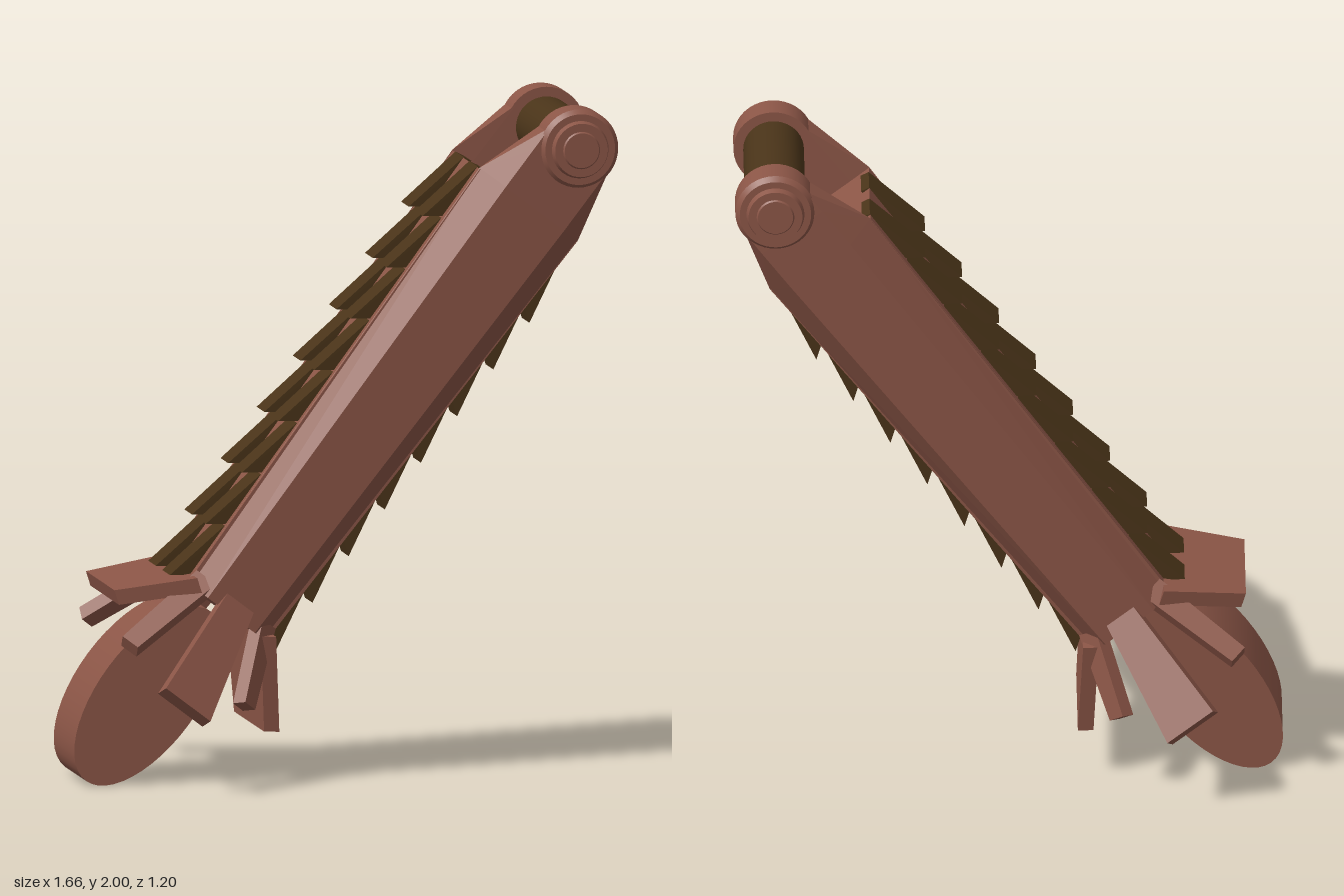
import * as THREE from 'three';
import { ConvexGeometry } from 'three/addons/geometries/ConvexGeometry.js';

const clay = new THREE.MeshStandardMaterial({ color: 0x8c5647 });
const bronze = new THREE.MeshStandardMaterial({ color: 0x4a3419 });

function add(parent, name, geometry, material = clay) {
  const mesh = new THREE.Mesh(geometry, material);
  mesh.name = name;
  parent.add(mesh);
}

// Faceted solid around a few corner points
function hull(parent, name, points, material) {
  add(parent, name, new ConvexGeometry(points.map(p => new THREE.Vector3(...p))), material);
}

// Cylinder along z from z0 to z1
function disc(parent, name, r0, r1, z0, z1, material) {
  const geometry = new THREE.CylinderGeometry(r1, r0, z1 - z0, 40);
  geometry.rotateX(Math.PI / 2).translate(0, 0, (z0 + z1) / 2);
  add(parent, name, geometry, material);
}

// Tapered plate flaring from a root to a tip; 'out' is the outward direction in x,z
function petal(parent, name, root, tip, rootHalf, tipHalf, out, thickness) {
  const points = [];
  for (const [p, half] of [[root, rootHalf], [tip, tipHalf]])
    for (const s of [-1, 1])
      for (const t of [-0.5, 0.5])
        points.push([
          p[0] - out[1] * half * s + out[0] * t * thickness,
          p[1] + t * thickness * 0.7,
          p[2] + out[0] * half * s + out[1] * t * thickness,
        ]);
  hull(parent, name, points);
}

// Row of overlapping wedge scales on one broad face (side = -1 upper, 1 lower)
function scaleRow(parent, side, z, firstTip, pitch) {
  for (let i = 0; i < 8; i++) {
    const tip = firstTip - i * pitch;
    const face = 0.185 - 0.035 * (-tip - 0.23) / 1.48;
    const points = [];
    for (const s of [-1, 1]) {
      points.push([side * (face - 0.02), tip + 0.22, z + s * 0.056]);
      points.push([side * (face + 0.006), tip + 0.215, z + s * 0.056]);
      points.push([side * (face + 0.05), tip, z + s * 0.052]);
      points.push([side * (face - 0.02), tip + 0.05, z + s * 0.052]);
    }
    hull(parent, 'scale', points, bronze);
  }
}

// One side: rail, pin arm, end cap and side petals ('lower' is the sign of x on the lower face)
function buildSide(lower) {
  const side = new THREE.Group();
  const points = [];
  // [height, inner half depth, inner z, outer half depth, outer z]
  for (const [y, xi, zi, xo, zo] of [
    [-1.725, 0.15, 0.165, 0.09, 0.245],
    [-0.22, 0.188, 0.185, 0.112, 0.274],
    [-0.08, 0.122, 0.185, 0.112, 0.276],
    [0, 0.112, 0.185, 0.112, 0.276],
  ])
    for (const s of [-1, 1]) points.push([s * xi, y, zi], [s * xo, y, zo]);
  hull(side, 'rail', points);

  disc(side, 'armEnd', 0.119, 0.119, 0.185, 0.272);
  disc(side, 'armEndBevel', 0.119, 0.106, 0.272, 0.288);
  disc(side, 'capRing', 0.086, 0.08, 0.288, 0.306);
  disc(side, 'capCentre', 0.056, 0.052, 0.306, 0.311);

  petal(side, 'sidePetal', [0, -1.69, 0.225], [0, -2.03, 0.435], 0.05, 0.085, [0, 1], 0.038);
  petal(side, 'cornerPetal', [-lower * 0.11, -1.69, 0.19], [-lower * 0.21, -1.98, 0.3], 0.038, 0.03, [-lower * 0.6, 0.8], 0.035);
  petal(side, 'cornerPetal', [lower * 0.11, -1.69, 0.19], [lower * 0.18, -1.92, 0.31], 0.038, 0.03, [lower * 0.6, 0.8], 0.035);
  return side;
}

export function createModel() {
  const model = new THREE.Group();
  model.name = 'model';
  // Local frame: origin at the pin, y up the bar, z along the pin
  const bar = new THREE.Group();
  bar.name = 'bar';
  bar.position.set(0.63, 1.88, -0.277);
  bar.rotation.set(0, THREE.MathUtils.degToRad(21), THREE.MathUtils.degToRad(-37.5));
  model.add(bar);

  // Central panel with a square top below the pin
  const core = [];
  for (const [y, x, z] of [[-1.725, 0.15, 0.18], [-0.222, 0.186, 0.19]])
    for (const sx of [-1, 1]) for (const sz of [-1, 1]) core.push([sx * x, y, sz * z]);
  hull(bar, 'panel', core);

  disc(bar, 'pin', 0.09, 0.09, -0.2, 0.2, bronze);

  for (const k of [1, -1]) {
    const side = buildSide(k);
    side.name = k > 0 ? 'leftSide' : 'rightSide';
    side.rotation.y = k > 0 ? 0 : Math.PI;
    bar.add(side);
  }

  // Broad flaps flaring from the foot of the bar
  petal(bar, 'upperFlap', [-0.132, -1.71, 0], [-0.305, -1.885, 0.01], 0.24, 0.195, [-1, 0], 0.038);
  petal(bar, 'lowerFlap', [0.132, -1.71, 0], [0.32, -1.93, 0.01], 0.24, 0.205, [1, 0], 0.038);

  // Scales on both broad faces
  for (const z of [-0.095, 0.095]) {
    scaleRow(bar, -1, z, -0.435, 0.186);
    scaleRow(bar, 1, z, -0.5, 0.175);
  }

  // Rounded foot lobe
  const lobe = new THREE.CylinderGeometry(1, 1, 0.28, 48);
  lobe.rotateX(Math.PI / 2).scale(0.152, 0.312, 1).translate(-0.033, -2.063, 0.012);
  add(bar, 'footLobe', lobe);

  return model;
}
